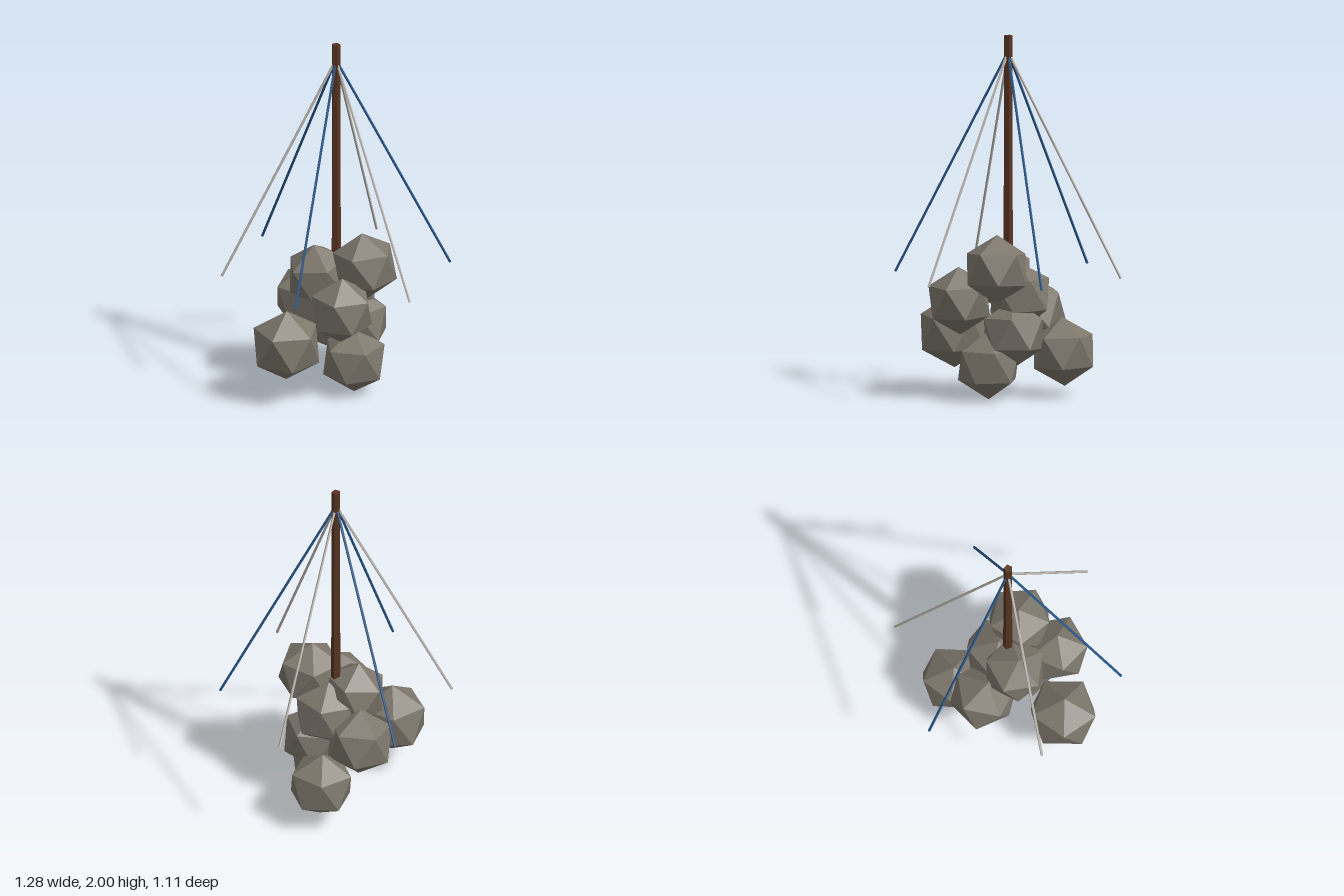
import * as THREE from 'three';

export function createModel() {
  const model = new THREE.Group();
  const material = (name, color) => {
    const m = new THREE.MeshStandardMaterial({ color, flatShading: true });
    m.name = name;
    return m;
  };
  const stone = material('stone grey', 0x7d776c);
  const wood = material('dark wood', 0x573420);
  const blue = material('blue', 0x2c5a8c);
  const pale = material('pale grey', 0xbeb9b3);

  const add = (name, geometry, mat) => {
    const mesh = new THREE.Mesh(geometry, mat);
    mesh.name = name;
    model.add(mesh);
    return mesh;
  };

  // Five-sided pole, its foot buried in the rocks
  const pole = add('pole', new THREE.CylinderGeometry(0.024, 0.028, 1.5, 5), wood);
  pole.position.y = 1.25;

  // Six slanting streamers in alternating colours
  const up = new THREE.Vector3(0, 1, 0);
  const top = new THREE.Vector3(0, 1.91, 0);
  for (let i = 0; i < 6; i++) {
    const a = (i * Math.PI) / 3;
    const end = new THREE.Vector3(Math.cos(a) * 0.635, 0.674, Math.sin(a) * 0.635);
    const along = top.clone().sub(end);
    const streamer = add('streamer', new THREE.CylinderGeometry(0.0075, 0.0075, along.length(), 5), i % 2 ? blue : pale);
    streamer.position.copy(top).add(end).multiplyScalar(0.5);
    streamer.quaternion.setFromUnitVectors(up, along.normalize());
  }

  // Twenty-sided rock standing on a corner
  const rock = new THREE.IcosahedronGeometry(1, 0);
  rock.rotateX(-Math.atan((1 + Math.sqrt(5)) / 2));

  // Heap of rocks: x, y, z, radius, turn, tilt forward, tilt sideways
  const rocks = [
    [0.155, 0.19, 0.0, 0.189, 0, 0, 0],
    [0.035, 0.333, 0.38, 0.204, 2.95, 0.02, -0.04],
    [-0.21, 0.25, -0.22, 0.19, 0.4, 0.05, 0],
    [-0.22, 0.455, 0.02, 0.195, 0.9, 0.1, -0.1],
    [-0.045, 0.65, 0.09, 0.186, 0, 0.16, 0],
    [0.165, 0.727, -0.07, 0.19, 0.5, 0.05, 0.07],
    [0.23, 0.54, 0.15, 0.188, Math.PI, 0, -0.04],
    [0.06, 0.365, -0.1, 0.188, 1.0, 0.05, 0.05],
    [-0.015, 0.565, -0.075, 0.188, 0.2, 0.1, 0],
  ];
  for (const [x, y, z, r, turn, tiltX, tiltZ] of rocks) {
    const mesh = add('rock', rock, stone);
    mesh.position.set(x, y, z);
    mesh.scale.setScalar(r);
    mesh.rotation.set(tiltX, turn, tiltZ, 'XZY');
  }
  return model;
}
